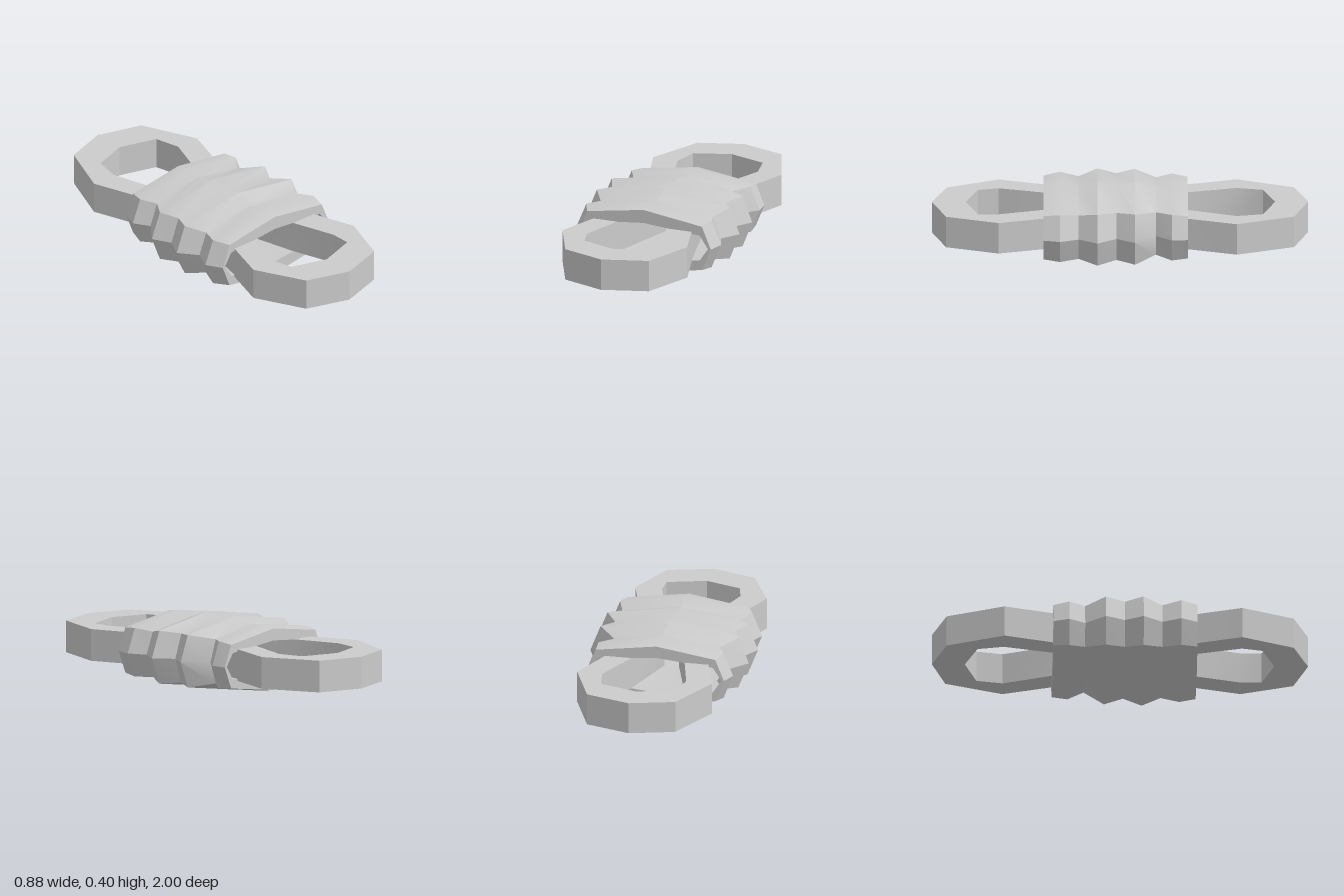
import * as THREE from 'three';
import { toCreasedNormals } from 'three/addons/utils/BufferGeometryUtils.js';

const CREASE = 0.5;
const material = new THREE.MeshStandardMaterial({ color: 0xcccccc, side: THREE.DoubleSide });

// Eight-sided section, wide and low: [tip, shoulder, ridge, shoulder, ...] counter-clockwise
function section(z, left, right, top, bottom) {
  const mid = 0.202, up = top - mid, down = mid - bottom, sx = 0.87, sy = 0.71;
  return [
    [right, mid], [right * sx, mid + up * sy], [0, top], [left * sx, mid + up * sy],
    [left, mid], [left * sx, mid - down * sy], [0, bottom], [right * sx, mid - down * sy],
  ].map(([x, y]) => [x, y, z]);
}

// Skin a closed sequence of sections
function skin(sections) {
  const n = sections[0].length, index = [];
  for (let s = 0; s < sections.length; s++) {
    const t = (s + 1) % sections.length;
    for (let i = 0; i < n; i++) {
      const j = (i + 1) % n;
      const a = s * n + i, b = s * n + j, c = t * n + j, d = t * n + i;
      index.push(a, b, c, a, c, d);
    }
  }
  const geometry = new THREE.BufferGeometry();
  geometry.setAttribute('position', new THREE.Float32BufferAttribute(sections.flat(2), 3));
  geometry.setIndex(index);
  return toCreasedNormals(geometry.toNonIndexed(), CREASE);
}

// Ribbed sleeve with a flat tunnel running through it
function makeSleeve() {
  const ribs = [ // z, left tip, right tip, top, bottom
    [-0.36, -0.37, 0.38, 0.366, 0.034],
    [-0.275, -0.40, 0.385, 0.38, 0.02],
    [-0.19, -0.35, 0.31, 0.37, 0.034],
    [-0.08, -0.44, 0.425, 0.40, 0.003],
    [0.02, -0.39, 0.36, 0.386, 0.014],
    [0.12, -0.443, 0.435, 0.402, 0],
    [0.22, -0.37, 0.37, 0.37, 0.027],
    [0.32, -0.418, 0.41, 0.386, 0.018],
    [0.407, -0.372, 0.387, 0.374, 0.03],
  ];
  const outer = ribs.map((r) => section(...r));
  const inner = ribs.map(([z, l, r]) => section(z, l * 0.96, r * 0.96, 0.301, 0.103)).reverse();
  return skin([...outer, ...inner]);
}

// Flat strap: one long loop, pinched where it passes through the sleeve
function makeStrap() {
  // Shape y becomes z
  const outline = [
    [0, 1], [0.245, 0.925], [0.35, 0.645], [0.275, 0.40], [0.17, 0], [0.28, -0.36], [0.37, -0.62], [0.245, -0.925],
    [0, -1], [-0.237, -0.925], [-0.367, -0.62], [-0.285, -0.36], [-0.17, 0], [-0.285, 0.40], [-0.367, 0.645], [-0.237, 0.92],
  ];
  const opening = [
    [0, 0.82], [0.205, 0.755], [0.205, 0.645], [0.13, 0.40], [0.04, 0], [0.135, -0.36], [0.235, -0.62], [0.205, -0.76],
    [0, -0.825], [-0.195, -0.76], [-0.225, -0.62], [-0.155, -0.36], [-0.04, 0], [-0.15, 0.40], [-0.223, 0.645], [-0.195, 0.755],
  ];
  const points = (list) => list.map(([x, z]) => new THREE.Vector2(x, z));
  const shape = new THREE.Shape(points(outline));
  shape.holes.push(new THREE.Path(points(opening)));
  const geometry = new THREE.ExtrudeGeometry(shape, { depth: 0.171, bevelEnabled: false });
  geometry.rotateX(Math.PI / 2).translate(0, 0.288, 0);
  return toCreasedNormals(geometry, CREASE);
}

export function createModel() {
  const model = new THREE.Group();
  model.name = 'strapLink';
  const add = (name, geometry) => {
    const mesh = new THREE.Mesh(geometry, material);
    mesh.name = name;
    model.add(mesh);
  };
  add('ribbedSleeve', makeSleeve());
  add('loopStrap', makeStrap());
  return model;
}
